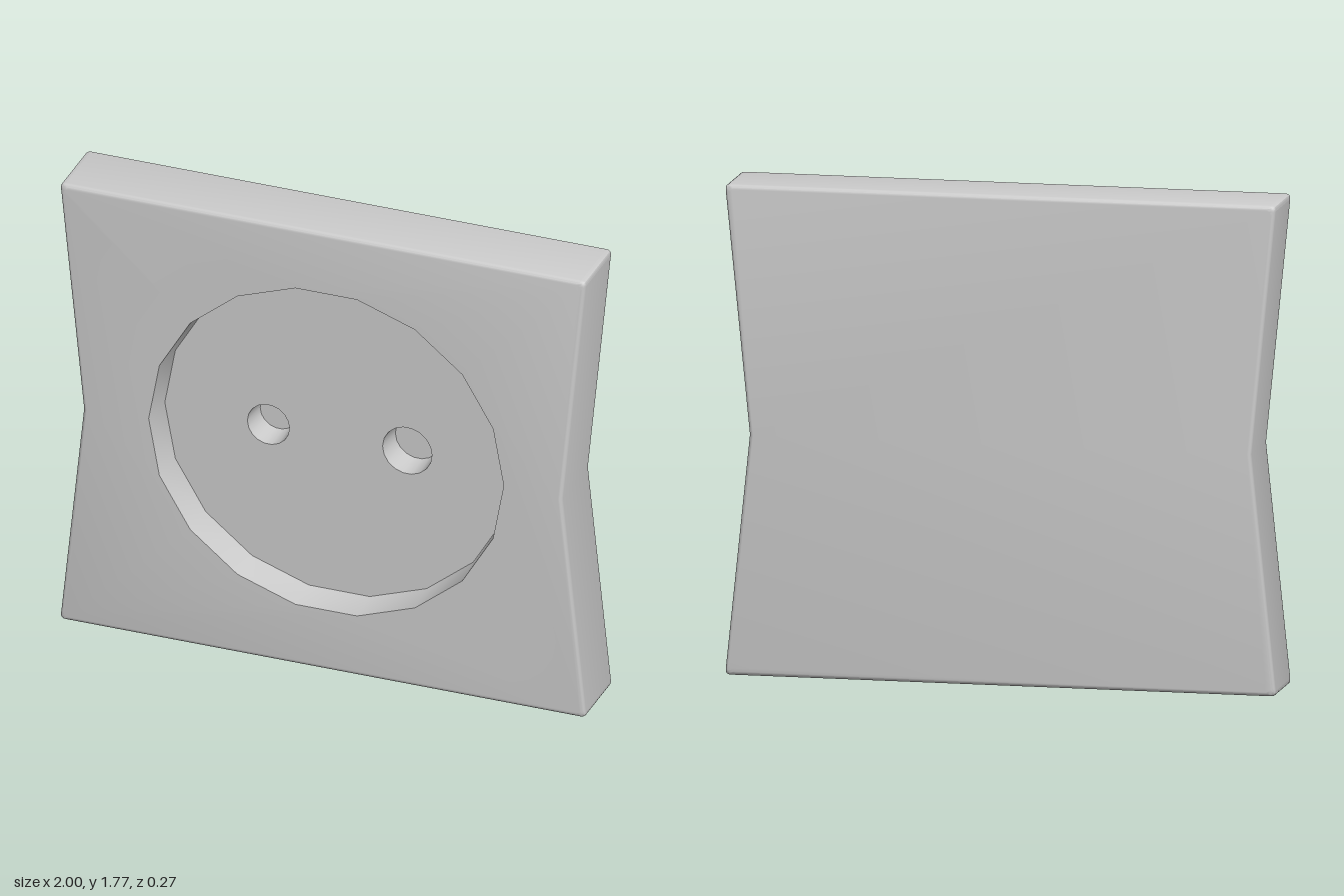
import * as THREE from 'three';
import { mergeGeometries, toCreasedNormals } from 'three/addons/utils/BufferGeometryUtils.js';

const HEIGHT = 1.77, MID = HEIGHT / 2, HALF_DEPTH = 0.135, BEVEL = 0.016;
const FLOOR_Z = 0.005, HOLE_Z = -0.1;

// Counter-clockwise plate outline: rounded corners, sides pinched to a waist
function plateOutline(inset) {
  const kx = 1 - inset, ky = 1 - inset / MID, r = 0.02;
  const P = (x, y) => [x * kx, MID + (y - MID) * ky];
  const s = new THREE.Shape();
  s.moveTo(...P(-1 + r, 0));
  s.lineTo(...P(1 - r, 0));
  s.quadraticCurveTo(...P(1, 0), ...P(0.998, r));
  s.lineTo(...P(0.91, 0.87));
  s.lineTo(...P(0.998, HEIGHT - r));
  s.quadraticCurveTo(...P(1, HEIGHT), ...P(1 - r, HEIGHT));
  s.lineTo(...P(-1 + r, HEIGHT));
  s.quadraticCurveTo(...P(-1, HEIGHT), ...P(-0.998, HEIGHT - r));
  s.lineTo(...P(-0.91, 0.87));
  s.lineTo(...P(-0.998, r));
  s.quadraticCurveTo(...P(-1, 0), ...P(-1 + r, 0));
  const pts = s.getPoints(4);
  pts.pop();
  return pts;
}

// Counter-clockwise 18-sided ring
function ring(cx, cy, rx, ry) {
  return Array.from({ length: 18 }, (_, i) => {
    const a = (i / 18) * Math.PI * 2;
    return new THREE.Vector2(cx + rx * Math.cos(a), cy + ry * Math.sin(a));
  });
}

// Wall through loops of { pts, z }; rising z faces outward, falling z inward
function loft(loops) {
  const n = loops[0].pts.length, pos = [], uv = [], idx = [];
  loops.forEach(({ pts, z }, j) => pts.forEach((p, i) => {
    pos.push(p.x, p.y, z);
    uv.push(i / n, j / (loops.length - 1));
  }));
  for (let j = 0; j < loops.length - 1; j++) {
    for (let i = 0; i < n; i++) {
      const a = j * n + i, b = j * n + (i + 1) % n;
      idx.push(a, b, b + n, a, b + n, a + n);
    }
  }
  const g = new THREE.BufferGeometry();
  g.setAttribute('position', new THREE.Float32BufferAttribute(pos, 3));
  g.setAttribute('uv', new THREE.Float32BufferAttribute(uv, 2));
  g.setIndex(idx);
  g.computeVertexNormals();
  return g;
}

// Flat face at height z, with optional holes, facing +z or -z
function cap(pts, z, holes = [], faceBack = false) {
  const s = new THREE.Shape(pts);
  s.holes = holes.map((h) => new THREE.Path(h));
  const g = new THREE.ShapeGeometry(s).translate(0, 0, z);
  if (faceBack) g.setIndex(Array.from(g.index.array).reverse());
  return g;
}

export function createModel() {
  const group = new THREE.Group();
  const material = new THREE.MeshStandardMaterial({ color: 0xcccccc });
  const add = (name, parts) => {
    const mesh = new THREE.Mesh(toCreasedNormals(mergeGeometries(parts), 0.5), material);
    mesh.name = name;
    group.add(mesh);
  };

  // Rims of the round recess and of the two pin holes
  const rim = ring(0.015, 0.885, 0.675, 0.652);
  const floor = ring(0.015, 0.885, 0.664, 0.641);
  const holes = [
    { name: 'rightPinHole', x: -0.255, r: 0.08 },
    { name: 'leftPinHole', x: 0.273, r: 0.094 },
  ].map((h) => ({ ...h, top: ring(h.x, 0.875, h.r, h.r), bottom: ring(h.x, 0.875, h.r - 0.008, h.r - 0.008) }));

  // Plate shell with rounded front and back edges
  const loops = [];
  for (const side of [-1, 1]) {
    for (let i = 0; i <= 4; i++) {
      const a = ((side < 0 ? 4 - i : i) / 4) * Math.PI / 2;
      loops.push({
        pts: plateOutline(BEVEL * (1 - Math.cos(a))),
        z: side * (HALF_DEPTH - BEVEL + BEVEL * Math.sin(a)),
      });
    }
  }
  const face = plateOutline(BEVEL);
  add('plate', [loft(loops), cap(face, HALF_DEPTH, [rim]), cap(face, -HALF_DEPTH, [], true)]);

  // Faceted round recess with its floor
  add('recess', [
    loft([{ pts: rim, z: HALF_DEPTH }, { pts: floor, z: FLOOR_Z }]),
    cap(floor, FLOOR_Z, holes.map((h) => h.top)),
  ]);

  // Blind pin holes
  for (const h of holes) {
    add(h.name, [
      loft([{ pts: h.top, z: FLOOR_Z }, { pts: h.bottom, z: HOLE_Z }]),
      cap(h.bottom, HOLE_Z),
    ]);
  }
  return group;
}
